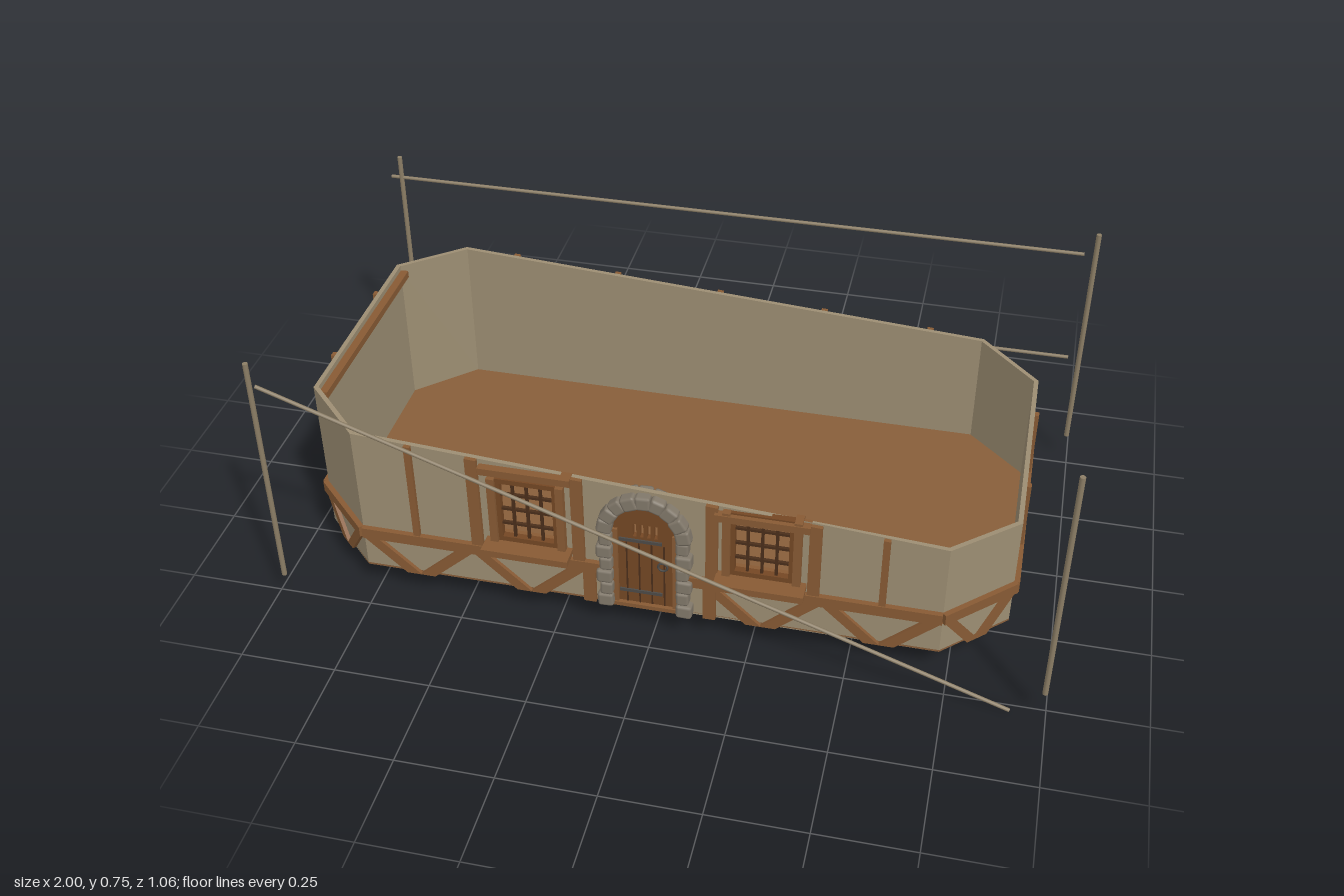
import * as THREE from 'three';
import { RoundedBoxGeometry } from 'three/addons/geometries/RoundedBoxGeometry.js';

const mat = (name, color) => {
  const m = new THREE.MeshStandardMaterial({ color });
  m.name = name;
  return m;
};

export function createModel() {
  const model = new THREE.Group();
  model.name = 'timberHouseStorey';
  const plaster = mat('plaster', 0x9c8d72);
  const timber = mat('timber', 0x875a34);
  const floorWood = mat('floorWood', 0x875e3a);
  const doorWood = mat('doorWood', 0x744724);
  const darkWood = mat('darkWood', 0x4a2e1a);
  const stone = mat('stone', 0x81786a);
  const iron = mat('iron', 0x4c4a47);
  const poleWood = mat('poleWood', 0x8c7e66);

  const BASE = 0.08, RAIL0 = 0.182, RAIL1 = 0.213, THICK = 0.012;
  const topY = x => 0.52 - (x + 0.93) * 0.0661;

  const add = (parent, name, geo, material, x = 0, y = 0, z = 0) => {
    const m = new THREE.Mesh(geo, material);
    m.name = name;
    m.position.set(x, y, z);
    parent.add(m);
    return m;
  };
  const box = (parent, name, material, w, h, d, x, y, z) =>
    add(parent, name, new THREE.BoxGeometry(w, h, d), material, x, y, z);
  const shapeOf = pts => new THREE.Shape(pts.map(p => new THREE.Vector2(p[0], p[1])));
  const rect = (x0, y0, x1, y1) => [[x0, y0], [x1, y0], [x1, y1], [x0, y1]];
  // Flat polygon extruded outwards from depth z
  const slab = (parent, name, material, shape, depth, z = 0) =>
    add(parent, name, new THREE.ExtrudeGeometry(shape, { depth, bevelEnabled: false, curveSegments: 10 }), material, 0, 0, z);

  // Corners, counter-clockwise seen from above, starting at the front wall
  const corners = [
    [-0.77, 0.437], [0.725, 0.437], [0.885, 0.285], [0.885, -0.32],
    [0.725, -0.472], [-0.77, -0.472], [-0.927, -0.32], [-0.927, 0.285],
  ];
  const bays = [5, 1, 2, 1, 5, 1, 2, 1];
  const DOOR_X = -0.02, SPRING = 0.325, DOOR_R = 0.083;
  const windows = [-0.32, 0.275];

  // Floor
  const floorGeo = new THREE.ExtrudeGeometry(shapeOf(corners.map(c => [c[0], -c[1]])), { depth: 0.006, bevelEnabled: false });
  floorGeo.rotateX(-Math.PI / 2);
  add(model, 'floor', floorGeo, floorWood, 0, BASE, 0);

  // Pair of sloping braces forming a V
  const brace = (wall, c, half, h) => {
    for (const s of [-1, 1]) {
      const b = c + s * h * 0.9, t = c + s * (half - h * 0.9);
      slab(wall, 'brace', timber, shapeOf([[b - h, BASE], [b + h, BASE], [t + h, RAIL0 + 0.003], [t - h, RAIL0 + 0.003]]), 0.01);
    }
  };

  // Walls with their timber framing
  corners.forEach((a, i) => {
    const b = corners[(i + 1) % 8];
    const dx = b[0] - a[0], dz = b[1] - a[1], len = Math.hypot(dx, dz);
    const wall = new THREE.Group();
    wall.name = 'wall' + (i + 1);
    wall.position.set(a[0], 0, a[1]);
    wall.rotation.y = Math.atan2(-dz, dx);
    model.add(wall);
    const front = i === 0;
    const top = s => topY(a[0] + dx * s / len);
    const post = (s, w, y0) => slab(wall, 'post', timber,
      shapeOf([[s - w / 2, y0], [s + w / 2, y0], [s + w / 2, top(s + w / 2)], [s - w / 2, top(s - w / 2)]]), 0.011);

    const shape = new THREE.Shape();
    shape.moveTo(0, BASE);
    const d = DOOR_X - a[0];
    if (front) {
      shape.lineTo(d - DOOR_R, BASE);
      shape.lineTo(d - DOOR_R, SPRING);
      shape.absarc(d, SPRING, DOOR_R, Math.PI, 0, true);
      shape.lineTo(d + DOOR_R, BASE);
    }
    shape.lineTo(len, BASE);
    shape.lineTo(len, top(len));
    shape.lineTo(0, top(0));
    if (front) for (const w of windows) {
      const s = w - a[0];
      shape.holes.push(new THREE.Path(rect(s - 0.085, 0.245, s + 0.085, 0.44).map(p => new THREE.Vector2(...p))));
    }
    slab(wall, 'plasterPanel', plaster, shape, THICK, -THICK);

    const rails = front ? [[0, d - 0.11], [d + 0.11, len]] : [[-0.003, len + 0.003]];
    for (const [s0, s1] of rails) slab(wall, 'rail', timber, shapeOf(rect(s0, RAIL0, s1, RAIL1)), 0.014);

    const n = bays[i], step = len / n;
    for (let k = 0; k < n; k++) {
      if (front && k === 2) continue;
      const c = step * (k + 0.5);
      brace(wall, c, step / 2, n === 1 ? 0.016 : 0.02);
      if (n > 1 && !(front && (k === 1 || k === 3))) post(c, 0.017, RAIL1);
    }
    if (front) {
      // Heavier posts beside the windows, short posts beside the door
      for (const x of [-0.457, -0.19, 0.15, 0.405]) post(x - a[0], 0.03, RAIL1);
      for (const x of [-0.165, 0.145]) slab(wall, 'doorPost', timber, shapeOf(rect(x - 0.016 - a[0], BASE, x + 0.016 - a[0], RAIL0)), 0.011);
    }
  });

  // Beam along the inside of the high end wall
  box(model, 'innerBeam', timber, 0.022, 0.02, 0.6, -0.905, 0.495, -0.018);

  // Lattice windows
  for (const x of windows) {
    const win = new THREE.Group();
    win.name = 'window';
    win.position.set(x, 0, 0.437);
    model.add(win);
    box(win, 'sill', timber, 0.225, 0.016, 0.092, 0, 0.233, 0.01);
    box(win, 'lintel', timber, 0.235, 0.02, 0.034, 0, topY(x) - 0.016, 0.004);
    for (const s of [-1, 1]) box(win, 'jamb', timber, 0.02, 0.2, 0.036, s * 0.088, 0.341, 0);
    for (const s of [-1, 1]) box(win, 'sash', doorWood, 0.012, 0.185, 0.018, s * 0.073, 0.342, 0);
    for (const y of [0.248, 0.432]) box(win, 'sashRail', doorWood, 0.155, 0.014, 0.018, 0, y, 0);
    for (const k of [-1, 0, 1]) {
      box(win, 'uprightBar', darkWood, 0.007, 0.18, 0.008, k * 0.036, 0.342, 0);
      box(win, 'crossBar', darkWood, 0.14, 0.007, 0.008, 0, 0.342 + k * 0.046, 0);
    }
  }

  // Arched plank door with a slotted peephole
  const door = new THREE.Group();
  door.name = 'door';
  door.position.set(DOOR_X, 0, 0.42);
  model.add(door);
  const leaf = new THREE.Shape();
  leaf.moveTo(-DOOR_R, BASE);
  leaf.lineTo(DOOR_R, BASE);
  leaf.lineTo(DOOR_R, SPRING);
  leaf.absarc(0, SPRING, DOOR_R, 0, Math.PI, false);
  for (let k = 0; k < 4; k++) {
    const x = -0.031 + k * 0.018;
    leaf.holes.push(new THREE.Path(rect(x, 0.31, x + 0.009, 0.35).map(p => new THREE.Vector2(...p))));
  }
  slab(door, 'leaf', doorWood, leaf, 0.016);
  for (const x of [-0.048, -0.016, 0.016, 0.048])
    for (const z of [-0.0005, 0.0165]) box(door, 'plankGap', darkWood, 0.004, 0.205, 0.002, x, 0.187, z);
  for (const s of [-1, 1]) box(door, 'doorFrame', timber, 0.014, 0.25, 0.026, s * 0.077, 0.205, 0.01);
  for (const y of [0.13, 0.298]) box(door, 'hingeStrap', iron, 0.11, 0.009, 0.004, -0.012, y, 0.018);
  add(door, 'ringHandle', new THREE.TorusGeometry(0.012, 0.003, 6, 14), iron, 0.045, 0.225, 0.02);
  box(door, 'threshold', timber, 0.17, 0.012, 0.034, 0, 0.086, 0.01);

  // Stone surround, slightly irregular
  let seed = 7;
  const rnd = () => (seed = (seed * 16807) % 2147483647) / 2147483647;
  const surround = new THREE.Group();
  surround.name = 'stoneSurround';
  surround.position.set(DOOR_X, 0, 0.432);
  model.add(surround);
  const block = (x, y, w, h, turn) => {
    const m = add(surround, 'stone', new RoundedBoxGeometry(w, h, 0.056 + rnd() * 0.01, 1, 0.008), stone, x, y, 0);
    m.rotation.z = turn + (rnd() - 0.5) * 0.1;
  };
  for (const s of [-1, 1]) for (let k = 0; k < 6; k++) {
    const w = k % 2 ? 0.034 : 0.042;
    block(s * (0.081 + w / 2), BASE + 0.021 + k * 0.041, w, 0.04, 0);
  }
  for (let k = 0; k < 9; k++) {
    const t = Math.PI * (k + 0.5) / 9;
    block(Math.cos(t) * 0.101, SPRING + Math.sin(t) * 0.109, 0.04, 0.038 + rnd() * 0.005, t);
  }

  // Fence poles and rails, the front rail fallen at one end
  const rod = (name, a, b, r) => {
    const p = new THREE.Vector3(...a), q = new THREE.Vector3(...b);
    const dir = q.clone().sub(p);
    const m = add(model, name, new THREE.CylinderGeometry(r, r, dir.length(), 8), poleWood);
    m.position.copy(p).lerp(q, 0.5);
    m.quaternion.setFromUnitVectors(new THREE.Vector3(0, 1, 0), dir.normalize());
  };
  for (const x of [-0.97, 0.99]) for (const z of [-0.525, 0.523])
    rod('pole', [x, BASE, z], [x, 0.75, z], 0.007);
  for (const y of [0.35, 0.685]) rod('backRail', [-1, y, -0.525], [0.96, y, -0.525], 0.005);
  rod('fallenRail', [-0.955, 0.685, 0.523], [0.912, 0.005, 0.523], 0.005);

  return model;
}
